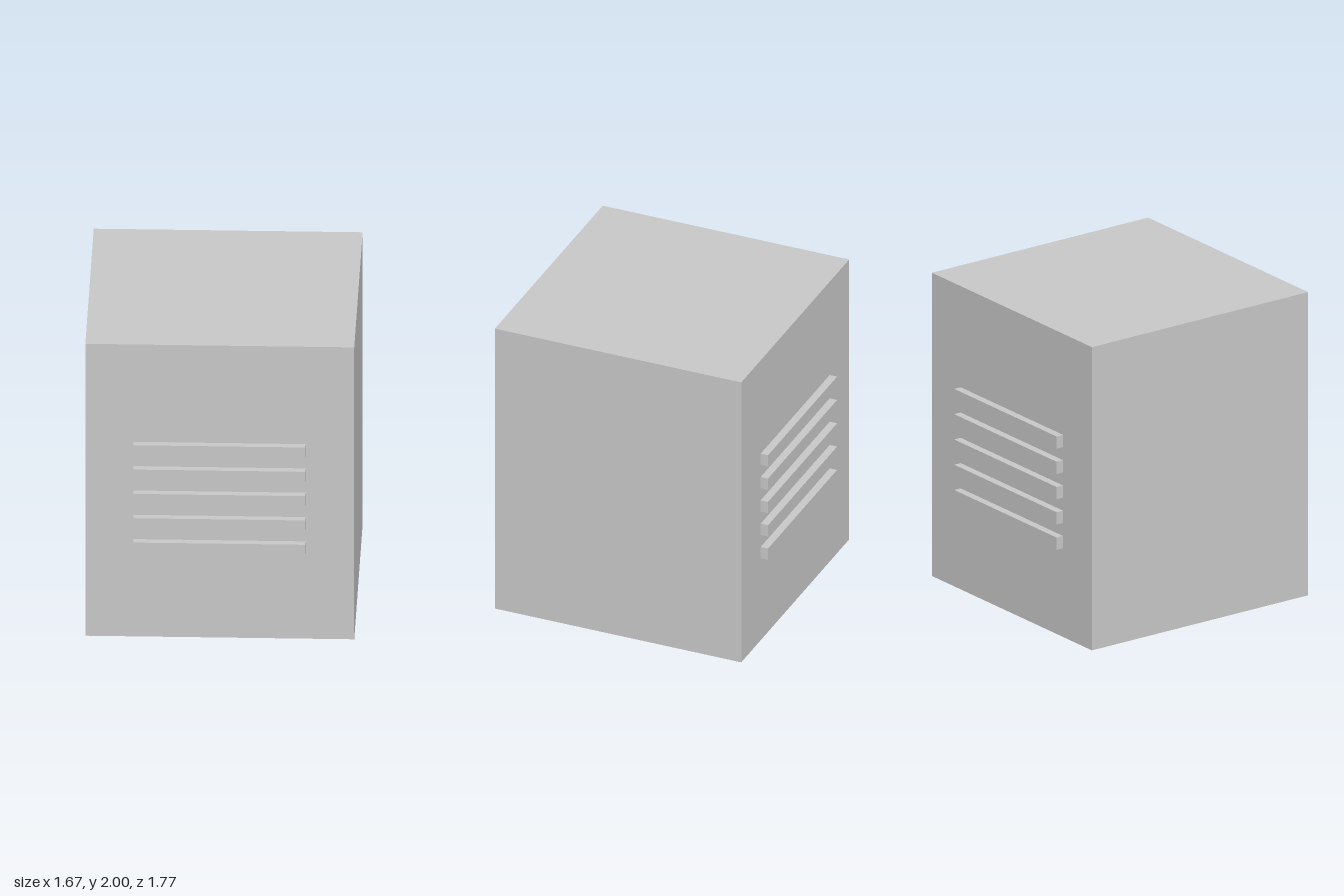
import * as THREE from 'three';

// Box face order: 0 +x, 1 -x, 2 +y, 3 -y, 4 +z, 5 -z
const BOTTOM = 3, BACK = 5;

// Thin sheet box with the listed faces left out
function openBox(w, h, d, openFaces) {
  const g = new THREE.BoxGeometry(w, h, d);
  const index = Array.from(g.index.array);
  g.setIndex(index.filter((_, i) => !openFaces.includes(Math.floor(i / 6))));
  g.clearGroups();
  return g;
}

export function createModel() {
  const model = new THREE.Group();
  model.name = 'ventedCover';

  const sheetMetal = new THREE.MeshStandardMaterial({ color: 0xc8c8c8, side: THREE.DoubleSide });
  sheetMetal.name = 'light grey sheet metal';

  const half = 0.833, height = 2;

  // Housing: five-sided shell, open underneath
  const housing = new THREE.Mesh(openBox(half * 2, height, half * 2, [BOTTOM]), sheetMetal);
  housing.name = 'housing';
  housing.position.y = height / 2;
  model.add(housing);

  // Louvres: hoods open at the bottom, five on the front and five on the back
  const depth = 0.05;
  const hood = openBox(1.066, 0.081, depth, [BOTTOM, BACK]);
  for (const side of ['front', 'back']) {
    const louvres = new THREE.Group();
    louvres.name = side + 'Louvres';
    if (side === 'back') louvres.rotation.y = Math.PI;
    for (let i = 0; i < 5; i++) {
      const louvre = new THREE.Mesh(hood, sheetMetal);
      louvre.name = side + 'Louvre' + (i + 1);
      louvre.position.set(0, 0.626 + i / 6, half + depth / 2);
      louvres.add(louvre);
    }
    model.add(louvres);
  }
  return model;
}
